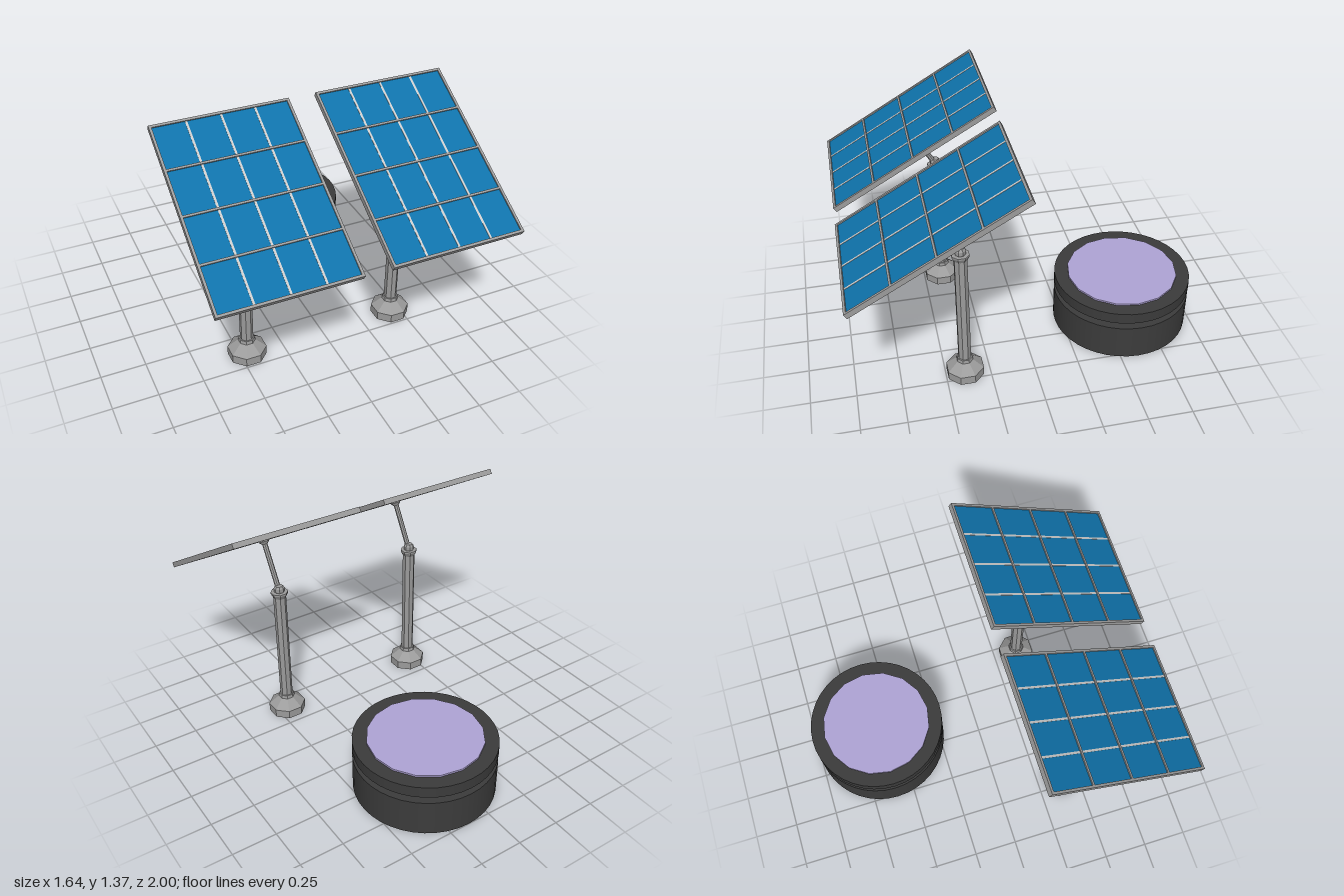
import * as THREE from 'three';

const material = (color, flatShading = false) => new THREE.MeshStandardMaterial({ color, flatShading });

function add(parent, name, geometry, mat, x = 0, y = 0, z = 0) {
  const mesh = new THREE.Mesh(geometry, mat);
  mesh.name = name;
  mesh.position.set(x, y, z);
  parent.add(mesh);
  return mesh;
}

// Octagonal turned part with flats facing the axes; radii are measured to the flats
function octagon(profile) {
  const points = profile.map(([r, y]) => new THREE.Vector2(r / Math.cos(Math.PI / 8), y));
  return new THREE.LatheGeometry(points, 8, Math.PI / 8);
}

function createSolarPanel(x) {
  const metal = material(0x9c9c9c, true);
  const strip = material(0xdcdcdc);
  const cellBlue = material(0x0f73ab);
  const W = 0.745, L = 1.035, T = 0.03, rim = 0.014;
  const poleOffset = -0.009;
  const group = new THREE.Group();
  group.name = 'solarPanel';
  group.position.x = x;

  // Foot, column and flared head in one turned profile
  add(group, 'pole', octagon([
    [0, 0], [0.1, 0], [0.1, 0.05], [0.044, 0.1], [0.041, 0.12], [0.034, 0.12],
    [0.034, 0.795], [0.046, 0.82], [0.046, 0.83], [0, 0.83],
  ]), metal, poleOffset, 0, 0.39);
  add(group, 'joint', octagon([
    [0.022, 0.82], [0.028, 0.835], [0.028, 0.855], [0.02, 0.868], [0, 0.868],
  ]), metal, poleOffset, 0, 0.39);

  // Tilted assembly: arm below, tray, cells and dividers above
  const tilt = new THREE.Group();
  tilt.name = 'tiltedPanel';
  tilt.position.set(0, 1.1, 0.545);
  tilt.rotation.x = Math.PI / 6;
  group.add(tilt);

  add(tilt, 'arm', octagon([
    [0, -0.3], [0.014, -0.3], [0.014, -0.035], [0.027, -0.02], [0.027, -0.01],
  ]), metal, poleOffset);
  add(tilt, 'backPlate', new THREE.BoxGeometry(W, 0.018, L), metal, 0, -T / 2 + 0.009, 0);

  for (const s of [-1, 1]) {
    add(tilt, 'sideRim', new THREE.BoxGeometry(rim, T, L), metal, s * (W - rim) / 2, 0, 0);
    add(tilt, 'endRim', new THREE.BoxGeometry(W - 2 * rim, T, rim), metal, 0, 0, s * (L - rim) / 2);
  }

  const dx = (W - rim) / 4, dz = (L - rim) / 4;
  for (let i = -1; i <= 1; i++) {
    add(tilt, 'crossBar', new THREE.BoxGeometry(W - 2 * rim, 0.016, 0.012), metal, 0, 0.007, i * dz);
    add(tilt, 'lengthStrip', new THREE.BoxGeometry(0.012, 0.007, L - 2 * rim), strip, i * dx, 0.006, 0);
  }
  for (let i = 0; i < 4; i++) {
    for (let j = 0; j < 4; j++) {
      add(tilt, 'cell', new THREE.BoxGeometry(dx - 0.012, 0.005, dz - 0.012), cellBlue,
        (i - 1.5) * dx, 0.0055, (j - 1.5) * dz);
    }
  }
  return group;
}

function createTank() {
  const dark = material(0x3c3c3c);
  const lilac = material(0xb0a5d6);
  const group = new THREE.Group();
  group.name = 'roundTank';
  group.position.set(0.132, 0, -0.605);
  const disc = (name, r, y0, y1, sides, mat) =>
    add(group, name, new THREE.CylinderGeometry(r, r, y1 - y0, sides), mat, 0, (y0 + y1) / 2, 0);

  disc('body', 0.395, 0, 0.21, 40, dark);
  disc('core', 0.341, 0.2, 0.26, 16, lilac);
  disc('topRing', 0.395, 0.25, 0.315, 40, dark);
  disc('lid', 0.32, 0.3, 0.325, 16, lilac);
  return group;
}

export function createModel() {
  const model = new THREE.Group();
  model.name = 'solarStation';
  for (const x of [-0.449, 0.449]) model.add(createSolarPanel(x));
  model.add(createTank());
  return model;
}
